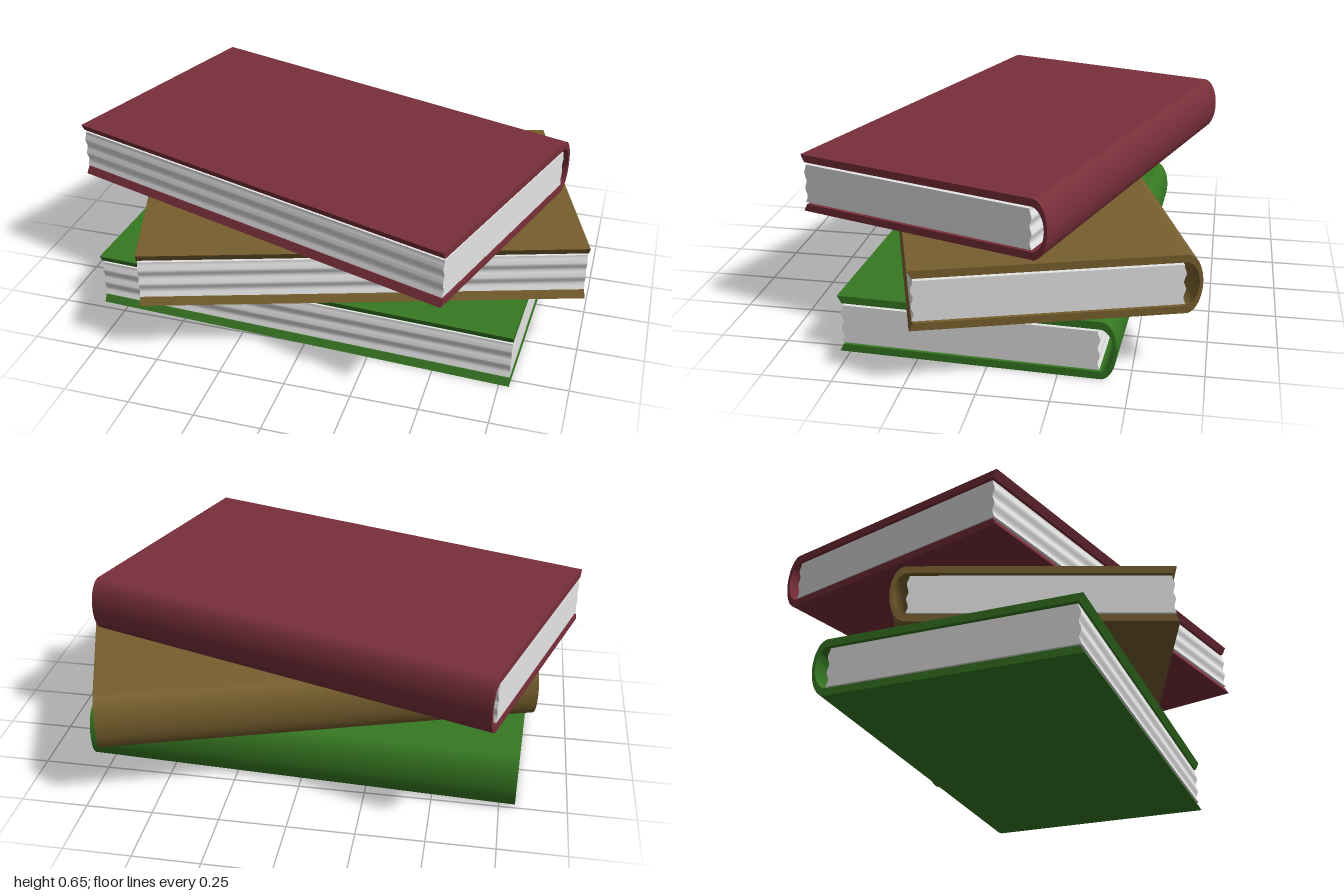
import * as THREE from 'three';
import { toCreasedNormals } from 'three/addons/utils/BufferGeometryUtils.js';

const LENGTH = 1.64, HEIGHT = 0.217, BOARD = 0.028;

// Extrude a (z, y) profile along x, centred on x = 0
function extrudeAlongX(shape, length) {
  const geo = new THREE.ExtrudeGeometry(shape, { depth: length, bevelEnabled: false, curveSegments: 16 });
  geo.rotateY(-Math.PI / 2);
  geo.translate(length / 2, 0, 0);
  return toCreasedNormals(geo, 0.5);
}

// Two boards joined by a rounded spine at -z
function coverGeometry() {
  const s = new THREE.Shape();
  const mid = HEIGHT / 2;
  s.moveTo(0.497, HEIGHT);
  s.lineTo(-0.44, HEIGHT);
  s.absellipse(-0.44, mid, 0.055, mid, Math.PI / 2, Math.PI * 1.5, false, 0);
  s.lineTo(0.497, 0);
  s.lineTo(0.482, BOARD);
  s.lineTo(-0.435, BOARD);
  s.absellipse(-0.435, mid, 0.048, mid - BOARD, Math.PI * 1.5, Math.PI / 2, true, 0);
  s.lineTo(0.482, HEIGHT - BOARD);
  s.closePath();
  return extrudeAlongX(s, LENGTH);
}

// Page block with rippled front and back edges
function pagesGeometry() {
  const y0 = 0.034, y1 = 0.18, steps = 20;
  const points = [];
  const ripple = (t) => 0.004 * Math.cos(t * Math.PI * 5 + 0.4);
  for (let i = 0; i <= steps; i++) {
    const t = i / steps;
    points.push(new THREE.Vector2(0.483 + ripple(t), y0 + (y1 - y0) * t));
  }
  for (let i = steps; i >= 0; i--) {
    const t = i / steps;
    points.push(new THREE.Vector2(-0.433 - ripple(t), y0 + (y1 - y0) * t));
  }
  return extrudeAlongX(new THREE.Shape(points), LENGTH - 0.004);
}

export function createModel() {
  const group = new THREE.Group();
  group.name = 'bookStack';

  const material = (name, color) => {
    const m = new THREE.MeshStandardMaterial({ color });
    m.name = name;
    return m;
  };
  const paper = material('paper', 0xe4e4e4);
  const coverGeo = coverGeometry();
  const pagesGeo = pagesGeometry();

  // Each book: name, cover colour, x, z, turn in degrees
  const books = [
    ['green', 0x367822, -0.01, 0.006, -2.5],
    ['brown', 0x775f2e, 0.068, 0, 18],
    ['red', 0x782f3a, -0.07, 0, -18],
  ];
  books.forEach(([name, color, x, z, turn], i) => {
    const book = new THREE.Group();
    book.name = name + 'Book';
    const cover = new THREE.Mesh(coverGeo, material(name + 'Cover', color));
    cover.name = name + 'Cover';
    const pages = new THREE.Mesh(pagesGeo, paper);
    pages.name = name + 'Pages';
    book.add(cover, pages);
    book.position.set(x, i * HEIGHT, z);
    book.rotation.y = THREE.MathUtils.degToRad(turn);
    group.add(book);
  });
  return group;
}
